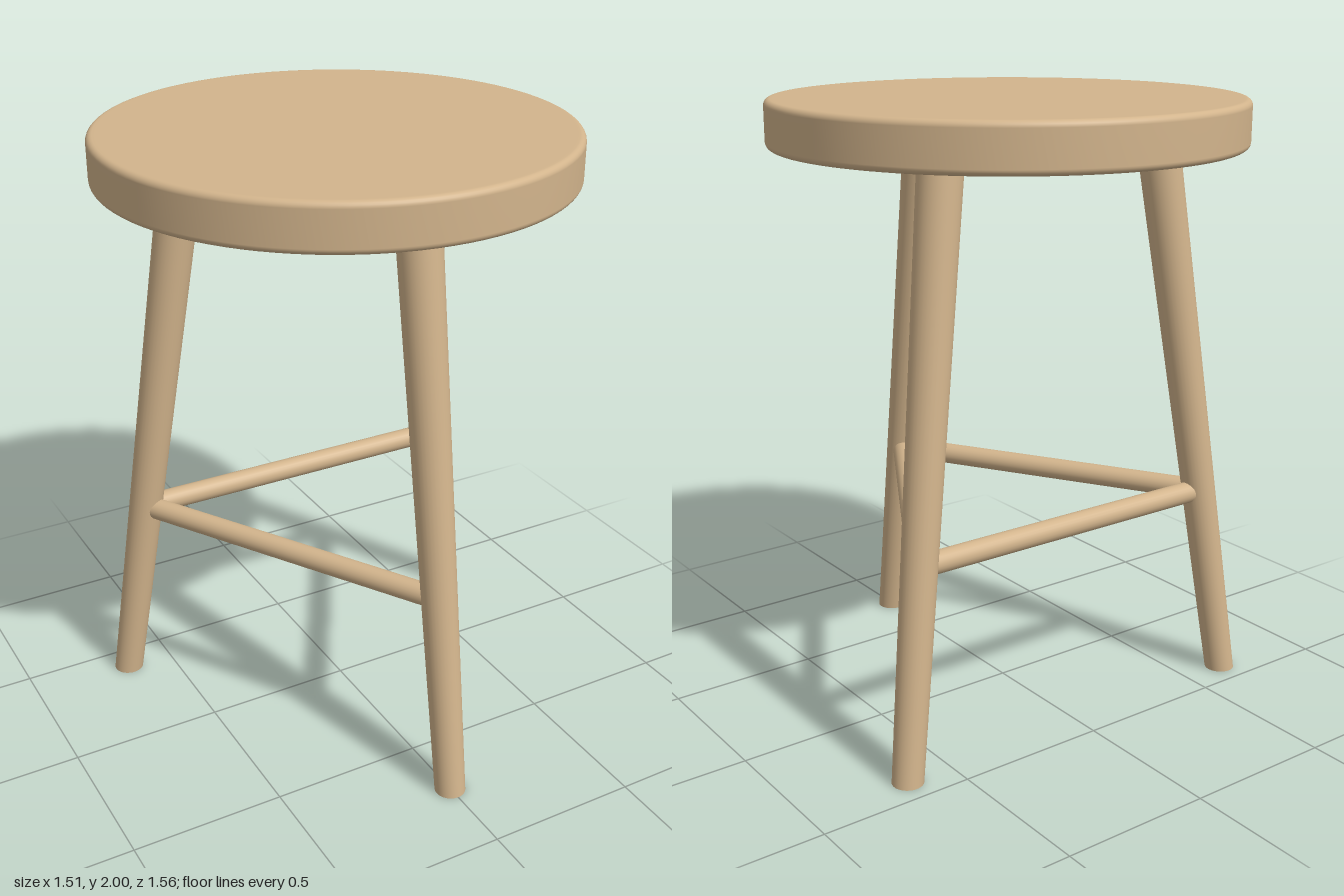
import * as THREE from 'three';

const CENTRE_Z = -0.027;   // stool axis
const SEAT_R = 0.754, SEAT_BOTTOM = 1.85, SEAT_TOP = 2, EDGE = 0.02;
const FOOT_SPREAD = 0.757, TOP_SPREAD = 0.48;
const RAIL_Y = 0.67, RAIL_R = 0.036;

const wood = new THREE.MeshStandardMaterial({ color: 0xd2b48c });

function add(group, name, geometry) {
  const mesh = new THREE.Mesh(geometry, wood);
  mesh.name = name;
  group.add(mesh);
  return mesh;
}

// Round slab with softened rims
function seatGeometry() {
  const points = [new THREE.Vector2(0, SEAT_BOTTOM), new THREE.Vector2(SEAT_R - EDGE - 0.01, SEAT_BOTTOM)];
  const arc = (y, from) => {
    for (let i = 0; i <= 6; i++) {
      const a = from + (i / 6) * Math.PI / 2;
      points.push(new THREE.Vector2(SEAT_R - EDGE + EDGE * Math.cos(a), y + EDGE * Math.sin(a)));
    }
  };
  arc(SEAT_BOTTOM + EDGE, -Math.PI / 2);
  arc(SEAT_TOP - EDGE, 0);
  points.push(new THREE.Vector2(SEAT_R - EDGE - 0.01, SEAT_TOP), new THREE.Vector2(0, SEAT_TOP));
  return new THREE.LatheGeometry(points, 96);
}

// Distance of a leg's axis from the stool axis at a height
const spreadAt = (y) => FOOT_SPREAD + (TOP_SPREAD - FOOT_SPREAD) * y / SEAT_BOTTOM;

// Tapered leg leaning outwards along +z, with level ends
function legGeometry() {
  const height = SEAT_BOTTOM + 0.01;
  const geometry = new THREE.CylinderGeometry(0.07, 0.05, height, 32);
  geometry.translate(0, height / 2, 0);
  const lean = (TOP_SPREAD - FOOT_SPREAD) / SEAT_BOTTOM;
  geometry.applyMatrix4(new THREE.Matrix4().set(
    1, 0, 0, 0,
    0, 1, 0, 0,
    0, lean, 1, FOOT_SPREAD,
    0, 0, 0, 1));
  return geometry;
}

export function createModel() {
  const stool = new THREE.Group();
  stool.name = 'stool';
  stool.position.z = CENTRE_Z;

  add(stool, 'seat', seatGeometry());

  // Three legs, and three rails joining their axes in a triangle
  const legs = ['frontLeg', 'backLeftLeg', 'backRightLeg'];
  const rails = ['leftRail', 'backRail', 'rightRail'];
  const leg = legGeometry();
  const r = spreadAt(RAIL_Y);
  const rail = new THREE.CylinderGeometry(RAIL_R, RAIL_R, r * Math.sqrt(3), 24);
  rail.rotateZ(Math.PI / 2).translate(0, RAIL_Y, r / 2);

  for (let i = 0; i < 3; i++) {
    const turn = i * Math.PI * 2 / 3;
    add(stool, legs[i], leg).rotation.y = turn;
    add(stool, rails[i], rail).rotation.y = turn + Math.PI / 3;
  }

  const model = new THREE.Group();
  model.name = 'model';
  model.add(stool);
  return model;
}
